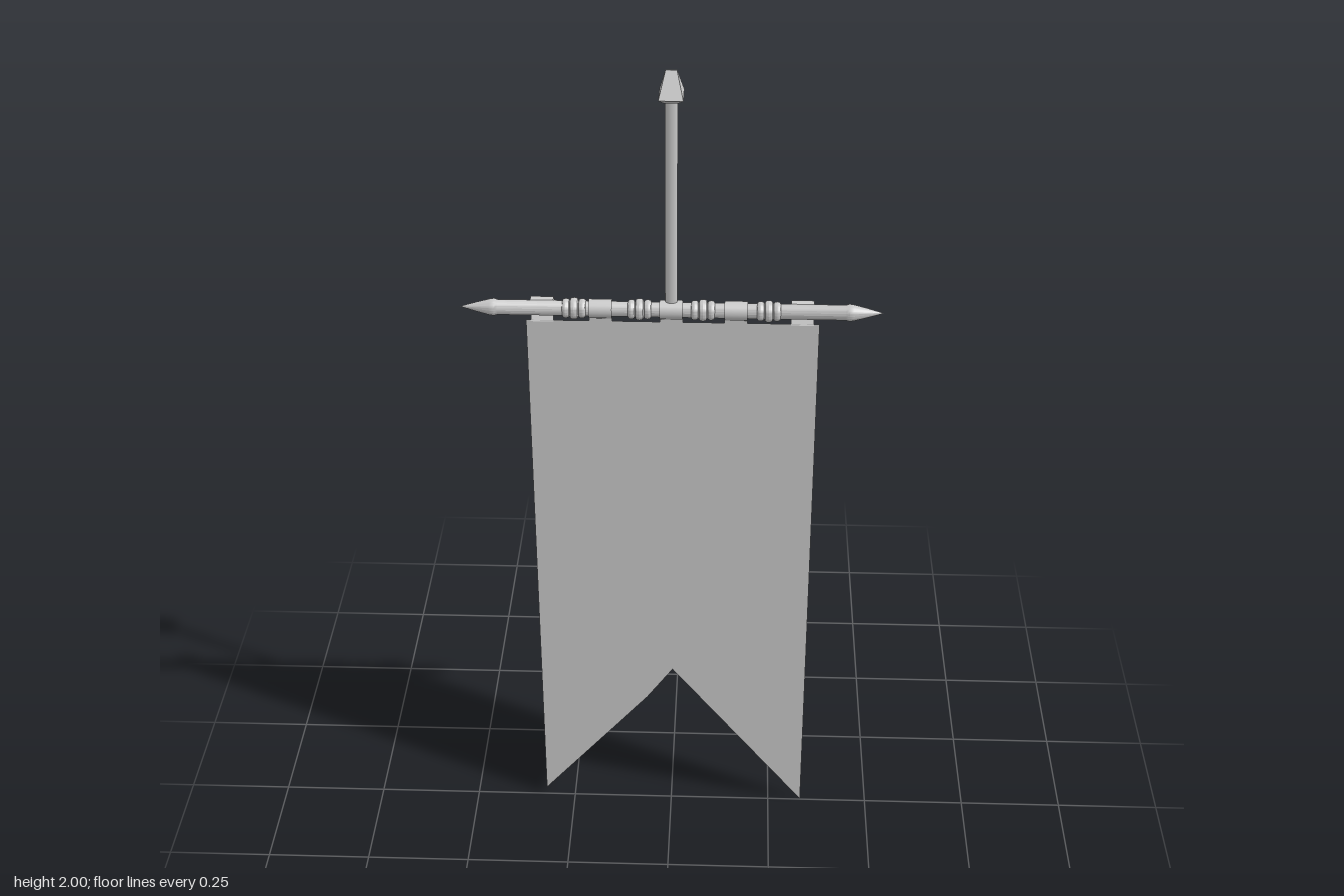
import * as THREE from 'three';
import { toCreasedNormals } from 'three/addons/utils/BufferGeometryUtils.js';

const POLE_Y = 1.44;

export function createModel() {
  const group = new THREE.Group();
  const grey = new THREE.MeshStandardMaterial({ color: 0xcccccc });
  const flat = new THREE.MeshStandardMaterial({ color: 0xcccccc, flatShading: true });
  const thin = new THREE.MeshStandardMaterial({ color: 0xcccccc, side: THREE.DoubleSide });
  const add = (name, geometry, material, x = 0, y = 0, z = 0) => {
    const mesh = new THREE.Mesh(geometry, material);
    mesh.name = name;
    mesh.position.set(x, y, z);
    group.add(mesh);
    return mesh;
  };
  const lathe = (points) => toCreasedNormals(
    new THREE.LatheGeometry(points.map(([r, h]) => new THREE.Vector2(r, h)), 20), 0.6).rotateZ(-Math.PI / 2);

  // Crossbar with a pointed tip at each end
  const half = [[0.017, 0.385], [0.0195, 0.392], [0.018, 0.402], [0.011, 0.43], [0.004, 0.455], [0, 0.468]];
  const mirrored = half.map(([r, h]) => [r, -h]).reverse();
  add('crossbar', lathe([...mirrored, ...half]), grey, 0, POLE_Y);

  // Triple-bead collars: a taller bead between two lower ones
  const collar = [[0.016, -0.027]];
  for (const [centre, radius, width] of [[-0.018, 0.022, 0.008], [0, 0.0245, 0.009], [0.018, 0.022, 0.008]]) {
    for (let i = 0; i <= 6; i++) {
      const a = Math.PI * i / 6;
      collar.push([radius - 0.005 + 0.005 * Math.sin(a), centre - width * Math.cos(a)]);
    }
  }
  collar.push([0.016, 0.027]);
  for (const x of [-0.215, -0.07, 0.07, 0.215]) add('beadCollar', lathe(collar), grey, x, POLE_Y);

  // Cloth loops round the bar; the outer pair hangs behind it
  for (const [x, z, r] of [[-0.287, -0.016, 0.0175], [-0.157, 0, 0.0215], [0, 0, 0.0215], [0.143, 0, 0.0215], [0.29, -0.016, 0.0175]]) {
    const loop = new THREE.CylinderGeometry(r, r, 0.051, 16, 1, true).rotateZ(Math.PI / 2);
    add('hangingLoop', loop, thin, x, POLE_Y, z);
    const tab = add('loopTab', new THREE.PlaneGeometry(0.051, 0.03), thin, x, 1.418, z / 2);
    tab.rotation.x = z ? -0.5 : 0;
  }

  // Swallow-tailed cloth
  const cloth = new THREE.Shape([
    [-0.323, 1.408], [-0.323, 0.025], [-0.06, 0.335], [0.003, 0.425],
    [0.333, 0.005], [0.328, 1.408],
  ].map(([x, y]) => new THREE.Vector2(x, y)));
  add('bannerCloth', new THREE.ShapeGeometry(cloth), thin, 0, 0, -0.002);

  // Upright rod, broader than it is deep
  add('uprightRod', new THREE.CylinderGeometry(1, 1, 0.5, 12).scale(0.0135, 1, 0.008), grey, 0, 1.69);

  // Roof-shaped finial: narrow foot, wide eaves, ridge along x
  const finial = new THREE.BoxGeometry(2, 2, 2, 1, 2, 1);
  const levels = [[0.015, 1.933, 0.016], [0.026, 1.945, 0.033], [0.012, 2, 0.002]];
  const p = finial.attributes.position;
  for (let i = 0; i < p.count; i++) {
    const [w, y, d] = levels[Math.round(p.getY(i)) + 1];
    p.setXYZ(i, p.getX(i) * w, y, p.getZ(i) * d);
  }
  finial.computeVertexNormals();
  add('finial', finial, flat);

  return group;
}
